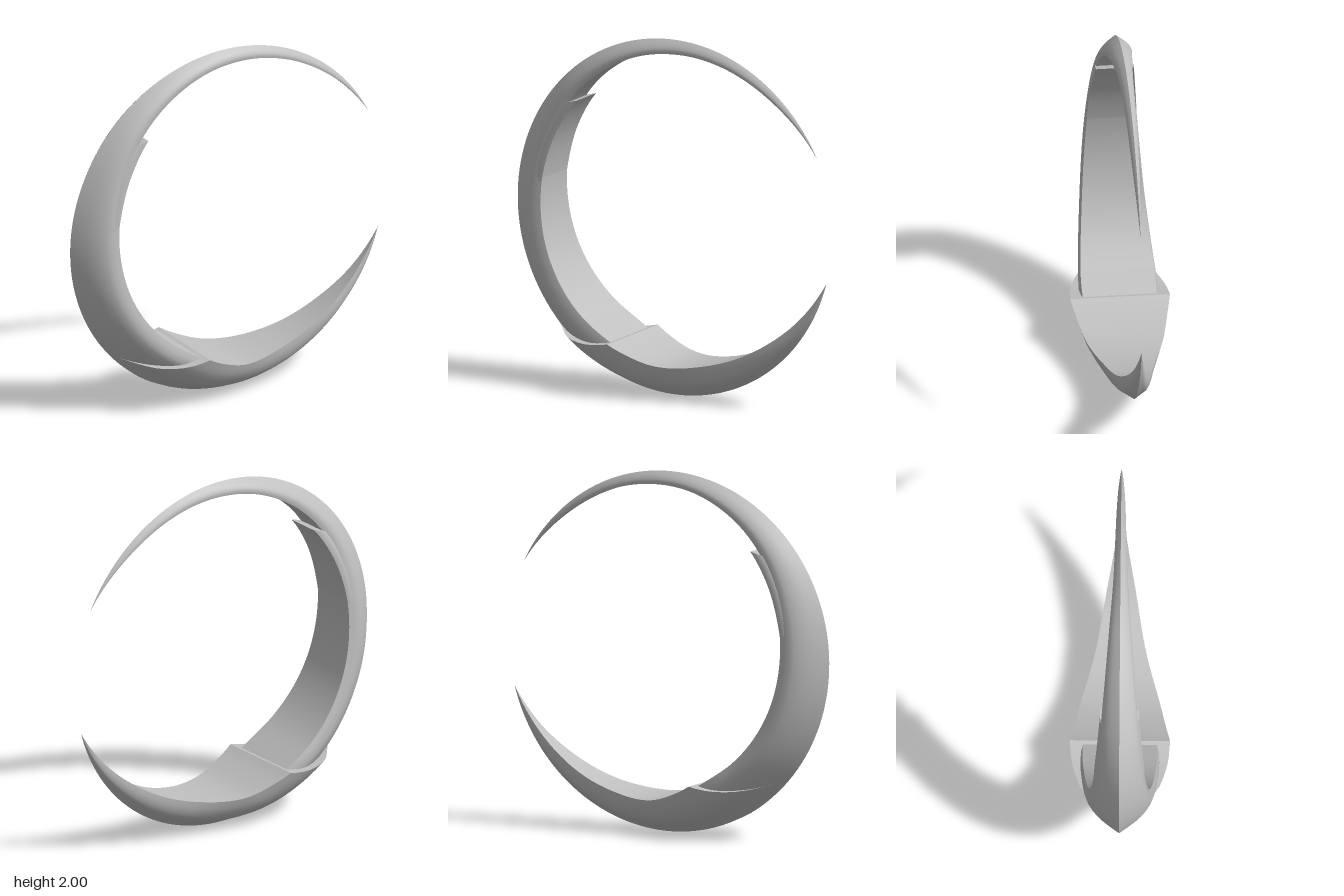
import * as THREE from 'three';
import { mergeGeometries } from 'three/addons/utils/BufferGeometryUtils.js';

// Smooth interpolation through keys [angle, innerRadius, halfWidth, outerRadius]
function sample(keys, a, c) {
  let i = 0;
  while (i < keys.length - 2 && a > keys[i + 1][0]) i++;
  const slope = (p, q) => (keys[q][c] - keys[p][c]) / (keys[q][0] - keys[p][0]);
  const tangent = (k) => slope(Math.max(k - 1, 0), Math.min(k + 1, keys.length - 1));
  const h = keys[i + 1][0] - keys[i][0];
  const t = (a - keys[i][0]) / h, t2 = t * t, t3 = t2 * t;
  return (2 * t3 - 3 * t2 + 1) * keys[i][c] + (t3 - 2 * t2 + t) * h * tangent(i)
    + (3 * t2 - 2 * t3) * keys[i + 1][c] + (t3 - t2) * h * tangent(i + 1);
}

// Surface over a grid of points, smooth inside, sharp at its borders
function grid(rows) {
  const n = rows[0].length, index = [];
  for (let i = 0; i < rows.length - 1; i++) {
    for (let j = 0; j < n - 1; j++) {
      const a = i * n + j, b = a + n;
      index.push(a, b, b + 1, a, b + 1, a + 1);
    }
  }
  const g = new THREE.BufferGeometry();
  g.setAttribute('position', new THREE.Float32BufferAttribute(rows.flat(2), 3));
  g.setIndex(index);
  g.computeVertexNormals();
  return g;
}

// Curved blade swept round the ring; profile strips are [depth, width] from ridge to inner edge
function blade(keys, steps, strips, skew) {
  const first = keys[0][0], last = keys[keys.length - 1][0];
  const point = (t, [s, w], side) => {
    const a = first + (last - first) * t;
    const rin = sample(keys, a, 1), half = Math.max(0, sample(keys, a, 2)), rout = sample(keys, a, 3);
    const angle = THREE.MathUtils.degToRad(a + skew * (1 - s) * (1 - t) ** 3);
    const r = rout + (rin - rout) * s;
    return [0.02 + r * Math.cos(angle), 1 + r * Math.sin(angle), side * half * w];
  };
  const ts = Array.from({ length: steps + 1 }, (_, i) => i / steps);
  const parts = [];
  for (const strip of strips) {
    const curve = new THREE.SplineCurve(strip.map((p) => new THREE.Vector2(...p)));
    const line = curve.getPoints(8).map((p) => [p.x, p.y]);
    const back = [...line].reverse();
    parts.push(grid(ts.map((t) => line.map((p) => point(t, p, 1)))));
    parts.push(grid(ts.map((t) => back.map((p) => point(t, p, -1)))));
    // end caps
    parts.push(grid([-1, 1].map((side) => line.map((p) => point(0, p, side)))));
    parts.push(grid([1, -1].map((side) => line.map((p) => point(1, p, side)))));
  }
  const edge = strips[strips.length - 1].at(-1);
  parts.push(grid(ts.map((t) => [point(t, edge, 1), point(t, edge, -1)])));
  return mergeGeometries(parts);
}

export function createModel() {
  const steel = new THREE.MeshStandardMaterial({ color: 0xbfbfbf, side: THREE.DoubleSide });
  steel.name = 'steel grey';
  const group = new THREE.Group();
  group.name = 'crescentRing';
  const add = (name, geometry) => {
    const mesh = new THREE.Mesh(geometry, steel);
    mesh.name = name;
    group.add(mesh);
  };

  // Main band, from the upper point round to its end inside the lower horn
  add('mainBand', blade([
    [26, 1.005, 0, 1.006], [50, 0.96, 0.02, 1], [85, 0.93, 0.038, 1], [104, 0.913, 0.06, 1],
    [137, 0.857, 0.1, 1], [160, 0.795, 0.128, 1], [180, 0.768, 0.15, 1], [205, 0.754, 0.175, 1],
    [228, 0.75, 0.2, 1], [243, 0.752, 0.21, 1], [254, 0.78, 0.19, 0.985], [265, 0.86, 0.1, 0.95],
  ], 120, [[[0, 0], [0.25, 0.5], [0.5, 0.85], [0.75, 1.03], [1, 0.98]]], 0));

  // Thin barbs pointing up inside the band
  add('upperBarbs', blade([
    [132.7, 0.829, 0.104, 0.995], [148, 0.803, 0.12, 0.99], [165, 0.782, 0.135, 0.985], [185, 0.78, 0.14, 0.98],
  ], 32, [[[0.2, 0], [0.5, 0.6], [0.79, 1], [1, 1]]], 20));

  // Lower horn: flared at its barbs, tapering to the lower point
  add('lowerHorn', blade([
    [248.8, 0.746, 0.275, 0.995], [258, 0.768, 0.25, 0.998], [270, 0.8, 0.214, 1], [290, 0.829, 0.138, 1],
    [313, 0.885, 0.077, 1], [328.5, 0.938, 0.034, 1], [344.7, 1, 0, 1.001],
  ], 80, [
    [[0, 0], [0.13, 0.26], [0.25, 0.52]],
    [[0.25, 0.52], [0.4, 0.77], [0.7, 0.95], [1, 1]],
  ], -27));

  // The ring leans round the vertical axis
  group.rotation.y = -0.204;
  group.position.z = 0.05;
  const model = new THREE.Group();
  model.name = 'crescentBlade';
  model.add(group);
  return model;
}
